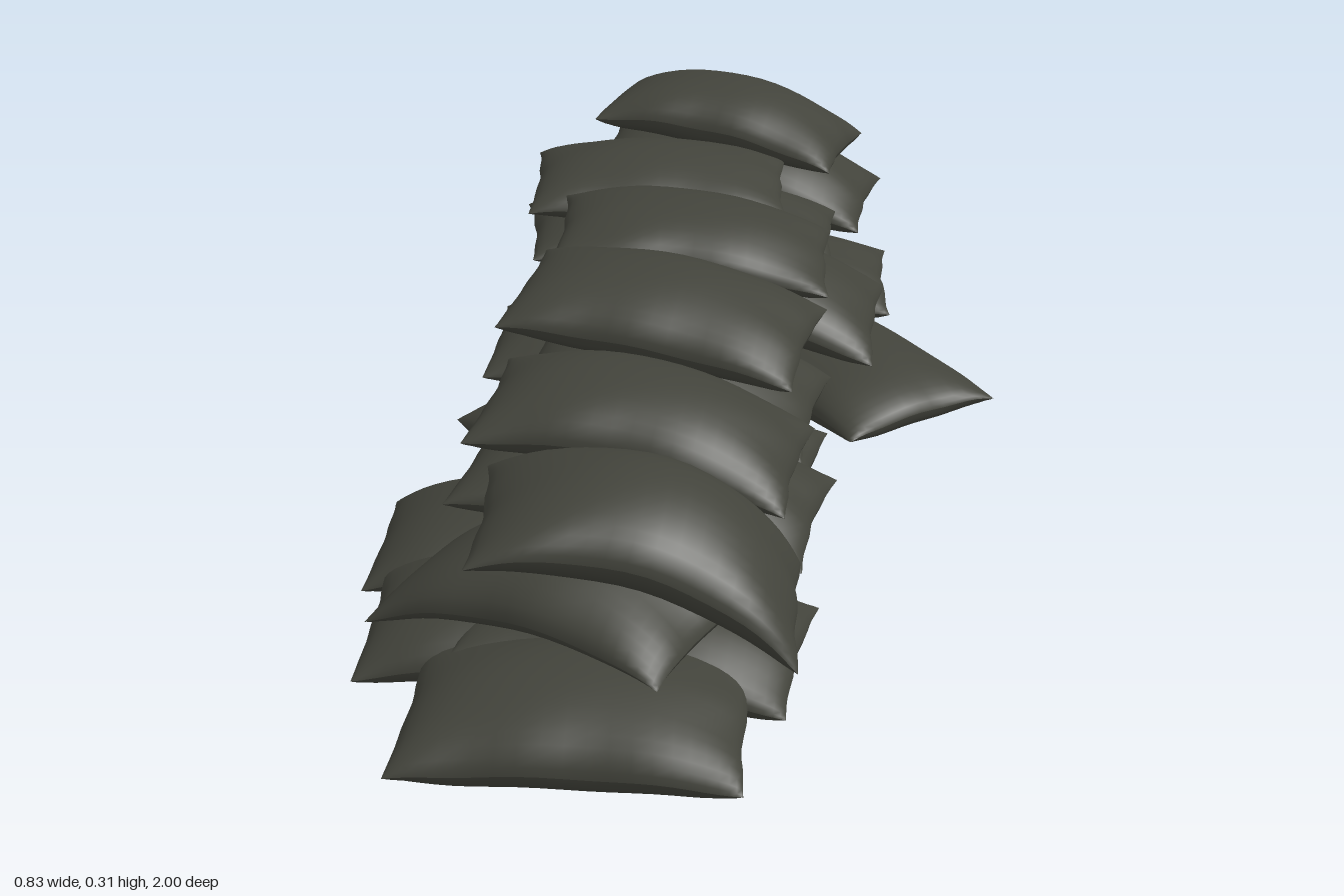
import * as THREE from 'three';

const burlap = new THREE.MeshStandardMaterial({ color: 0x42433b });
burlap.name = 'dark olive burlap';

// One half of a stuffed bag: a grid puffed up (side = 1) or down (side = -1) from the seam
function bagHalf(w, d, puff, bend, side, seed) {
  const geo = new THREE.PlaneGeometry(2, 2, 24, 18);
  geo.rotateX(-side * Math.PI / 2);
  const p = geo.attributes.position;
  for (let i = 0; i < p.count; i++) {
    const u = Math.sin(p.getX(i) * Math.PI / 2), v = Math.sin(p.getZ(i) * Math.PI / 2);
    // domed top, flatter underside
    const dome = Math.pow(Math.max(0, (1 - u * u) * (1 - v * v)), 0.5);
    const body = side > 0 ? dome : 1 - Math.pow(1 - dome, 1.8);
    // seams pull inwards between the corners and ripple a little
    const rippleU = 0.002 * Math.sin(v * 8 + seed) * u * u;
    const rippleV = 0.002 * Math.sin(u * 9 + seed * 2) * v * v;
    const x = u * w / 2 * (1 - 0.04 * (1 - v * v)) + rippleU * (1 - v * v);
    const z = v * d / 2 * (1 - 0.05 * (1 - u * u)) + rippleV * (1 - u * u);
    const lump = 1 + 0.04 * Math.sin(u * 3 + seed) * Math.cos(v * 2.5 + seed);
    const y = side * puff * body * lump - bend * (u * u - 0.15) - 0.005 * v * v + rippleU + rippleV;
    p.setXYZ(i, x, y, z);
  }
  geo.computeVertexNormals();
  return geo;
}

function sandbag(name, [x, y, z, yaw, roll = 0, bend = 0.015, pitch = 0, w = 0.42, d = 0.27, up = 0.064, down = 0.04], seed) {
  const bag = new THREE.Group();
  bag.name = name;
  for (const side of [1, -1]) {
    const half = new THREE.Mesh(bagHalf(w, d, side > 0 ? up : down, bend, side, seed), burlap);
    half.name = side > 0 ? 'bagTop' : 'bagUnderside';
    bag.add(half);
  }
  bag.position.set(x, y, z);
  bag.rotation.set(pitch, yaw, roll, 'YXZ');
  return bag;
}

// Each bag: x, seam height, z, yaw, roll, bend, pitch, width, depth, puff up, puff down
const layers = {
  bottomBag: [
    [-0.085, 0.047, 0.86, 0, 0, 0.008, 0, 0.42, 0.28, 0.066],
    [-0.17, 0.047, 0.64, 0.03, 0, 0.015],
    [-0.03, 0.06, 0.67, -0.1, -0.1, 0.01, 0, 0.42, 0.27, 0.06],
    [-0.2, 0.046, 0.425, 0, 0.03, 0.02, 0, 0.42, 0.25],
    [-0.03, 0.05, 0.43, -0.05, -0.04, 0.01, 0, 0.38, 0.25],
    [-0.11, 0.05, 0.08, 0.6, 0, 0.01],
    [-0.04, 0.05, 0.19, -0.08, 0, 0.01, 0, 0.42, 0.24],
    [0.185, 0.05, -0.12, -0.9, 0, 0, 0, 0.42, 0.26, 0.05],
    [-0.135, 0.05, -0.18, 0, 0, 0.01, 0, 0.42, 0.25],
    [0.03, 0.052, -0.43, 0.06, 0, 0.005, 0, 0.44, 0.25],
    [-0.13, 0.05, -0.65, 0.17, 0, 0.01, 0, 0.45, 0.25],
    [-0.075, 0.046, -0.86, 0.03, 0, 0.008, 0, 0.41, 0.27, 0.072],
  ],
  middleBag: [
    [-0.125, 0.132, 0.69, -0.42, 0.06, 0.04, 0, 0.42, 0.26, 0.06, 0.025],
    [-0.05, 0.13, 0.41, -0.13, -0.09, 0.025, 0, 0.48, 0.26],
    [-0.04, 0.145, 0.15, -0.1, -0.08, 0.025, 0, 0.42, 0.28],
    [0.035, 0.16, -0.16, -0.03, -0.17, 0.025, 0, 0.43, 0.28],
    [-0.05, 0.14, -0.43, 0.03, -0.05, 0.015, 0, 0.43, 0.25, 0.06],
    [-0.01, 0.135, -0.7, -0.12, -0.14, 0.025, 0, 0.46, 0.25],
  ],
  topBag: [
    [-0.01, 0.208, 0.69, 0.04, -0.32, 0.06, 0, 0.42, 0.27, 0.064, 0.045],
    [-0.05, 0.212, 0.4, -0.1, -0.16, 0.03, 0, 0.43, 0.25, 0.06],
    [-0.05, 0.24, 0.12, -0.13, -0.13, 0.01, 0, 0.42, 0.27, 0.062],
    [-0.035, 0.225, -0.18, 0.04, -0.13, 0.015, 0, 0.41, 0.26, 0.053],
    [-0.115, 0.207, -0.44, 0.07, -0.03, 0.008, 0, 0.4, 0.26, 0.053, 0.035],
    [-0.02, 0.22, -0.71, -0.17, -0.14, 0.02, -0.12, 0.4, 0.26, 0.06],
  ],
};

export function createModel() {
  const wall = new THREE.Group();
  wall.name = 'sandbagWall';
  let seed = 1;
  for (const [name, bags] of Object.entries(layers)) {
    const layer = new THREE.Group();
    layer.name = name + 'Layer';
    for (const bag of bags) layer.add(sandbag(name, bag, seed++ * 1.7));
    wall.add(layer);
  }
  return wall;
}
